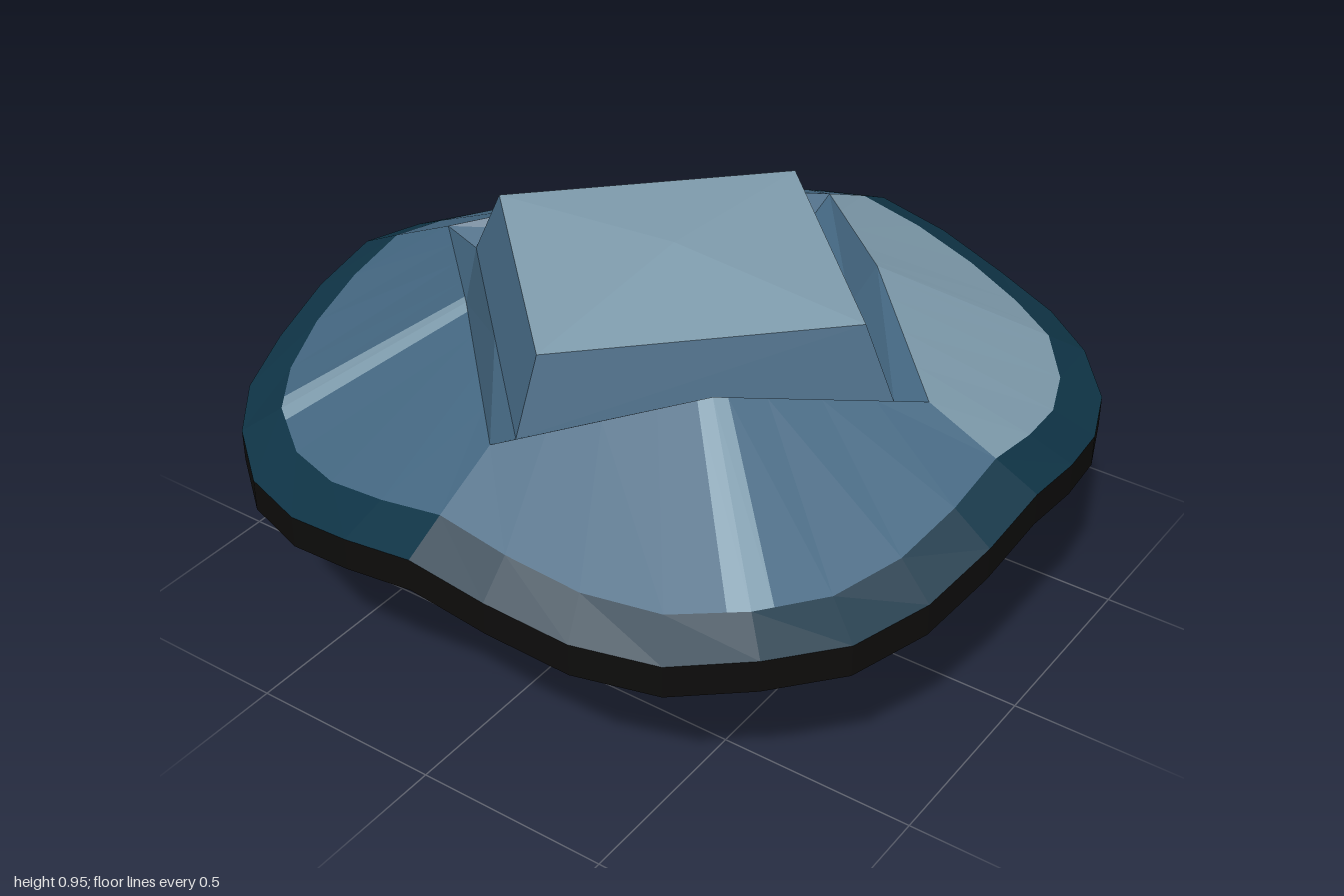
import * as THREE from 'three';

const paint = (name, color) => {
  const m = new THREE.MeshStandardMaterial({ color });
  m.name = name;
  m.flatShading = true;
  return m;
};

// Surface between two point rows: a is the upper/inner row, b the lower/outer row
function strip(a, b) {
  const pos = [];
  const tri = (p, q, r) => {
    if (p.distanceTo(q) < 1e-6 || q.distanceTo(r) < 1e-6 || r.distanceTo(p) < 1e-6) return;
    for (const v of [p, q, r]) pos.push(v.x, v.y, v.z);
  };
  for (let i = 0; i < a.length - 1; i++) {
    tri(a[i], b[i], b[i + 1]);
    tri(a[i], b[i + 1], a[i + 1]);
  }
  const g = new THREE.BufferGeometry();
  g.setAttribute('position', new THREE.Float32BufferAttribute(pos, 3));
  g.computeVertexNormals();
  return g;
}

// Closed wavy ring of 32 sides; each eighth mirrors the five given radii and heights
function ring(radii, heights) {
  return Array.from({ length: 33 }, (_, k) => {
    const i = k % 8 <= 4 ? k % 8 : 8 - (k % 8);
    const a = (k * Math.PI) / 16;
    return new THREE.Vector3(Math.sin(a) * radii[i], heights[i], Math.cos(a) * radii[i]);
  });
}

// Diamond ring with a corner height and a mid-edge height
function diamond(r, yCorner, yMid) {
  return Array.from({ length: 9 }, (_, k) => {
    const a = (k * Math.PI) / 4;
    const d = k % 2 ? r * Math.SQRT1_2 : r;
    return new THREE.Vector3(Math.sin(a) * d, k % 2 ? yMid : yCorner, Math.cos(a) * d);
  });
}

// Point at a fractional position along a row
function along(row, u) {
  const i = Math.min(Math.floor(u), row.length - 2);
  return row[i].clone().lerp(row[i + 1], u - i);
}

export function createModel() {
  const blue = paint('slate blue', 0x446781);
  const light = paint('pale blue grey', 0x7f9cad);
  const teal = paint('dark teal', 0x0f3446);
  const black = paint('black', 0x0d0c0b);

  const group = new THREE.Group();
  const add = (name, geometry, material, y = 0) => {
    const mesh = new THREE.Mesh(geometry, material);
    mesh.name = name;
    mesh.position.y = y;
    group.add(mesh);
  };

  const outerRadii = [1, 1.01, 1.033, 1.058, 1.06];
  const outerY = [0.625, 0.59, 0.545, 0.525, 0.53];
  const outer = ring(outerRadii, outerY);
  const inner = ring([0.89, 0.903, 0.928, 0.95, 0.96], [0.68, 0.645, 0.605, 0.58, 0.585]);
  const bottom = ring(outerRadii, outerY.map((y) => y - 0.083));
  const tip = outer.map(() => new THREE.Vector3());
  const ridge = diamond(0.71, 0.765, 0.835);
  const floor = diamond(0.62, 0.73, 0.73);

  // Rim, side band and pointed underside
  add('rim', strip(inner, outer), teal);
  add('sideBand', strip(outer, bottom), black);
  add('underside', strip(bottom, tip), teal);

  // Four roof panels; all but the front left one carry a diagonal stripe
  const panel = (name, start, columns, material) => {
    const at = columns.map((u) => start + u);
    add(name, strip(at.map((u) => along(ridge, u / 4)), at.map((u) => along(inner, u))), material);
  };
  for (let q = 0; q < 4; q++) {
    const main = q === 0 ? light : blue;
    panel('roofPanel', q * 8, [0, 1, 2, 3, 3.72], main);
    panel(q === 0 ? 'roofPanel' : 'panelStripe', q * 8, [3.72, 4, 4.28], light);
    panel('roofPanel', q * 8, [4.28, 5, 6, 7, 8], main);
  }

  // Groove wall inside the panels, then the central block and its low cap
  add('grooveWall', strip(floor, ridge), blue);
  add('blockSides', new THREE.CylinderGeometry(0.535, 0.62, 0.18, 4, 1, true), blue, 0.82);
  add('blockCap', new THREE.ConeGeometry(0.535, 0.04, 4, 1, true), light, 0.93);

  return group;
}
